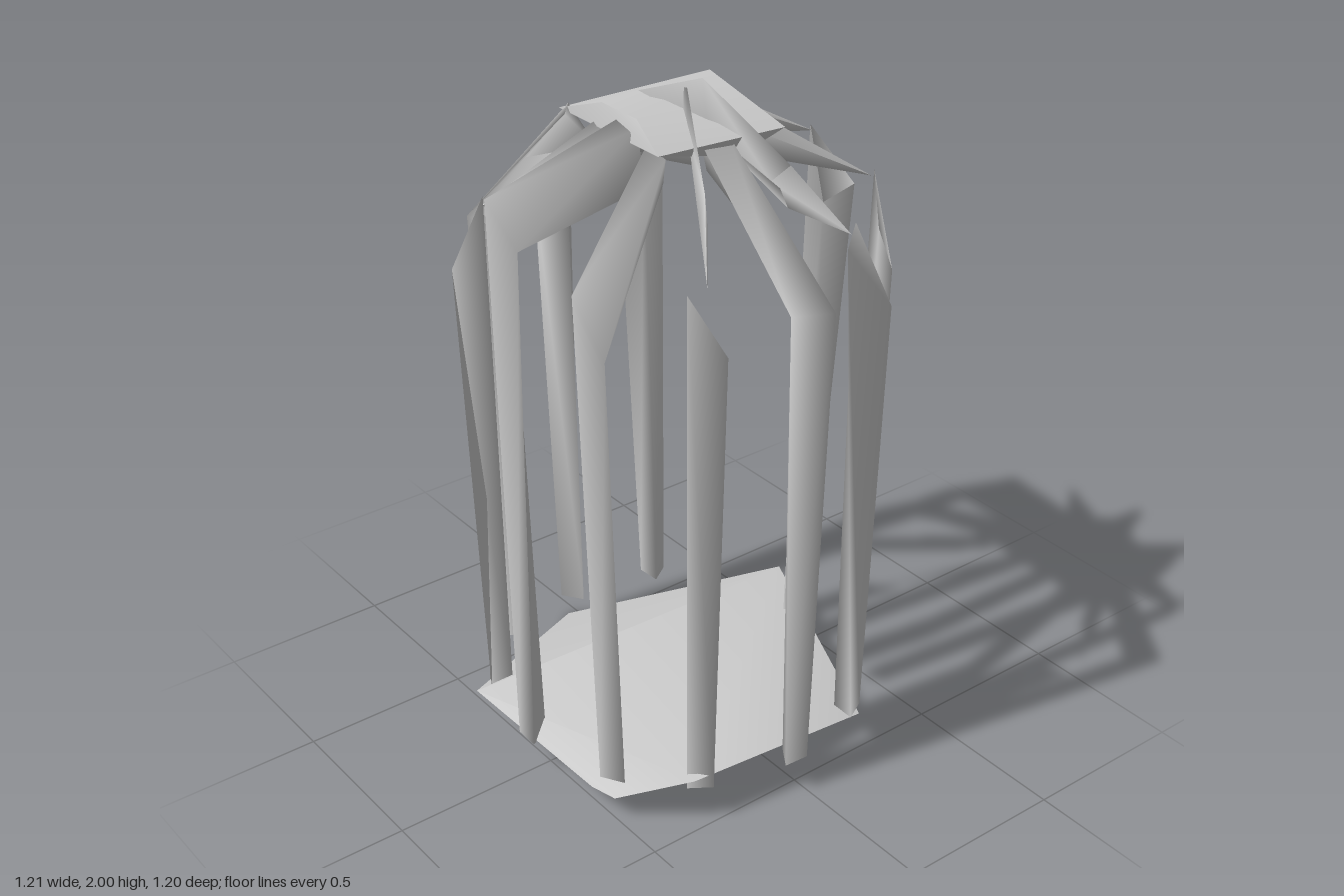
import * as THREE from 'three';
import { ConvexGeometry } from 'three/addons/geometries/ConvexGeometry.js';
import { toCreasedNormals } from 'three/addons/utils/BufferGeometryUtils.js';

const solid = new THREE.MeshStandardMaterial({ color: 0xcccccc });
const smooth = new THREE.MeshStandardMaterial({ color: 0xcccccc, side: THREE.DoubleSide });
const ORDERS = [[0, 1, 2], [1, 2, 0], [2, 0, 1], [0, 2, 1], [2, 1, 0], [1, 0, 2]];

// Reorder a ring's corners so each sits closest to its partner, which avoids twists.
function align(ring, partner) {
  const centre = r => [0, 1, 2].map(k => (r[0][k] + r[1][k] + r[2][k]) / 3);
  const c = centre(ring), d = centre(partner);
  const cost = order => order.reduce((sum, j, i) =>
    sum + Math.hypot(...[0, 1, 2].map(k => ring[j][k] - c[k] - partner[i][k] + d[k])), 0);
  const best = ORDERS.reduce((a, b) => (cost(b) < cost(a) ? b : a));
  return best.map(j => ring[j]);
}

// Skin between successive three-cornered rings; a ring of one point makes a tip.
function loft(name, ...rings) {
  const full = [];
  for (const r of rings) {
    const ring = r.length === 1 ? [r[0], r[0], r[0]] : r;
    full.push(full.length ? align(ring, full[full.length - 1]) : ring);
  }
  const last = (full.length - 1) * 3;
  const index = [0, 2, 1, last, last + 1, last + 2];
  for (let k = 0; k < last; k += 3) {
    for (let i = 0; i < 3; i++) {
      const a = k + i, b = k + (i + 1) % 3;
      index.push(a, b, a + 3, b, b + 3, a + 3);
    }
  }
  const geometry = new THREE.BufferGeometry();
  geometry.setAttribute('position', new THREE.Float32BufferAttribute(full.flat(2), 3));
  geometry.setIndex(index);
  geometry.computeVertexNormals();
  const mesh = new THREE.Mesh(geometry, smooth);
  mesh.name = name;
  return mesh;
}

function hull(name, points) {
  const geometry = new ConvexGeometry(points.map(p => new THREE.Vector3(...p)));
  const mesh = new THREE.Mesh(toCreasedNormals(geometry, 0.8), solid);
  mesh.name = name;
  return mesh;
}

// Small triangular foot of a bar, one corner pointing to the axis
function foot(x, z, r = 0.043) {
  const turn = Math.atan2(z, x) + Math.PI;
  return [0, 1, 2].map(i => {
    const a = turn + i * Math.PI * 2 / 3;
    return [x + r * Math.cos(a), 0.11, z + r * Math.sin(a)];
  });
}

export function createModel() {
  const group = new THREE.Group();

  // Faceted floor
  group.add(hull('floor', [
    [-0.35, 0.16, 0.485], [0.17, 0.08, 0.445], [0.52, 0.16, -0.19], [-0.59, 0.15, -0.24],
    [-0.53, 0.08, 0.25], [-0.51, 0.08, 0.33], [0.3, 0.06, 0.44], [-0.03, 0, -0.58],
  ]));

  // Faceted crown
  group.add(hull('crown', [
    [-0.19, 1.84, -0.31], [-0.2, 1.92, -0.1], [0.17, 1.92, -0.12], [0.16, 1.86, 0.205],
    [-0.22, 1.86, 0.165], [-0.2, 1.92, 0.05], [0.17, 1.88, -0.1], [0.04, 1.8, 0.17],
    [0.03, 1.79, -0.13], [-0.13, 1.84, 0.15], [-0.1, 1.79, -0.15],
  ]));

  // Pointed roof ribs: three root corners running to a tip
  const ribs = [
    [[[0.12, 1.9, -0.05], [0.12, 1.88, 0.05], [0.14, 1.78, 0]], [0.47, 1.7, -0.04]],
    [[[0.14, 1.88, 0.06], [0.12, 1.84, 0.18], [0.12, 1.76, 0.1]], [0.48, 1.64, 0.195]],
    [[[-0.18, 1.87, -0.13], [-0.18, 1.85, -0.08], [-0.16, 1.76, -0.1]], [-0.5, 1.65, -0.25]],
    [[[0.14, 1.88, -0.12], [0.16, 1.87, -0.07], [0.11, 1.69, -0.06]], [0.455, 1.64, -0.3]],
  ];
  for (const [root, tip] of ribs) group.add(loft('roofRib', root, [tip]));

  // Thin crossing ribs that rise through the crown to form the peak
  group.add(loft('peakRib', [[-0.09, 1.93, -0.09]],
    [[-0.02, 2, 0.09], [0, 1.88, 0.1], [-0.02, 1.87, 0.11]],
    [[0.1, 1.8, 0.3], [0.085, 1.69, 0.31], [0.075, 1.74, 0.29]], [[0.18, 1.64, 0.45]]));
  group.add(loft('peakRib', [[0.01, 1.93, -0.05]],
    [[-0.07, 1.985, 0.09], [-0.085, 1.88, 0.11], [-0.065, 1.87, 0.11]],
    [[-0.17, 1.79, 0.29], [-0.18, 1.71, 0.28], [-0.165, 1.7, 0.295]], [[-0.28, 1.62, 0.44]]));

  // Straight bars under the pointed ribs: slanted top, then foot
  const bars = [
    [[[0.48, 1.71, -0.06], [0.6, 1.52, 0], [0.475, 1.5, 0.01]], [0.435, -0.02]],
    [[[0.475, 1.5, 0.24], [0.485, 1.66, 0.2], [0.475, 1.4, 0.3]], [0.435, 0.25]],
    [[[0.17, 1.6, 0.45], [0.24, 1.64, 0.4], [0.32, 1.4, 0.465]], [0.245, 0.45]],
    [[[-0.355, 1.63, 0.455], [-0.28, 1.5, 0.41], [-0.24, 1.43, 0.475]], [-0.305, 0.45]],
    [[[-0.56, 1.48, -0.29], [-0.47, 1.55, -0.29], [-0.5, 1.7, -0.215]], [-0.5, -0.265]],
  ];
  for (const [top, [x, z]] of bars) group.add(loft('bar', top, foot(x, z)));

  // Bars that bend at the shoulder and run on into the roof: root, shoulder, foot
  const bentBars = [
    // front
    [[[-0.08, 1.86, 0.16], [0.01, 1.86, 0.16], [-0.03, 1.76, 0.12]],
      [[-0.09, 1.52, 0.535], [0, 1.53, 0.6], [0, 1.5, 0.53]], [-0.03, 0.52]],
    // front, towards -x
    [[[-0.2, 1.86, 0.09], [-0.2, 1.85, 0.17], [-0.17, 1.76, 0.12]],
      [[-0.54, 1.6, 0.235], [-0.52, 1.45, 0.34], [-0.48, 1.48, 0.28]], [-0.47, 0.28]],
    // side, towards -x
    [[[-0.19, 1.9, -0.03], [-0.19, 1.89, 0.04], [-0.14, 1.7, 0]],
      [[-0.608, 1.78, -0.035], [-0.575, 1.66, 0.055], [-0.56, 1.63, 0]], [-0.55, -0.01]],
    // back, towards -x
    [[[-0.18, 1.86, -0.28], [-0.22, 1.85, -0.24], [-0.15, 1.76, -0.2]],
      [[-0.34, 1.48, -0.56], [-0.355, 1.5, -0.48], [-0.29, 1.58, -0.47]], [-0.29, -0.465]],
    // back
    [[[-0.09, 1.86, -0.2], [0.01, 1.86, -0.18], [-0.04, 1.74, -0.12]],
      [[-0.09, 1.52, -0.6], [0.015, 1.56, -0.565], [-0.04, 1.57, -0.5]], [-0.04, -0.525]],
    // back, towards +x
    [[[0.04, 1.87, -0.2], [0.13, 1.87, -0.15], [0.06, 1.7, -0.03]],
      [[0.17, 1.55, -0.55], [0.28, 1.72, -0.475], [0.2, 1.65, -0.46]], [0.23, -0.47]],
  ];
  for (const [root, shoulder, [x, z]] of bentBars) {
    group.add(loft('bentBar', root, shoulder, foot(x, z)));
  }

  return group;
}
